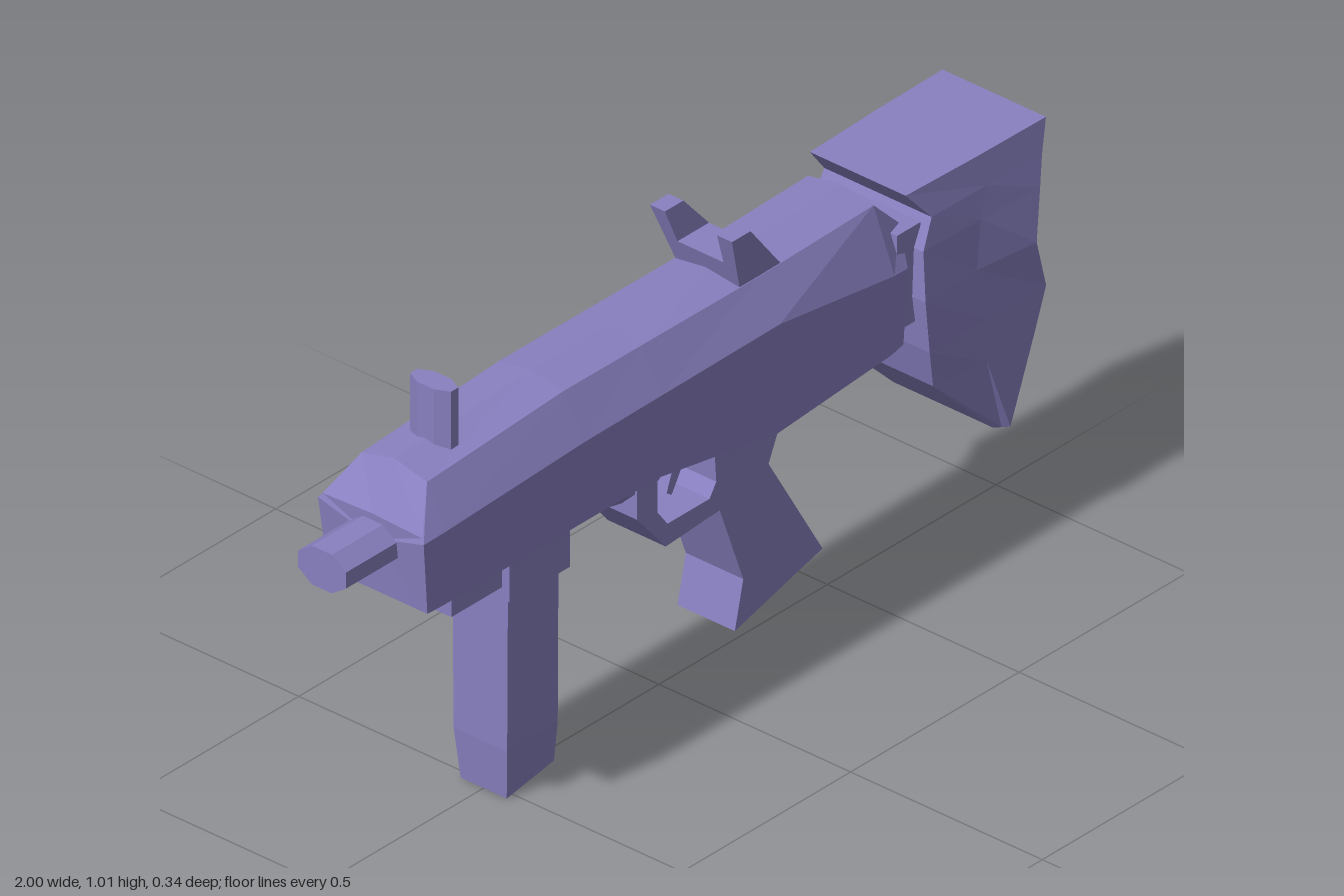
import * as THREE from 'three';

const material = new THREE.MeshStandardMaterial({ color: 0x8880c0, flatShading: true });

function part(group, name, geometry) {
  const mesh = new THREE.Mesh(geometry, material);
  mesh.name = name;
  group.add(mesh);
  return mesh;
}

// Skin a row of closed rings of [x, y, z] points and cap both ends, facing outward
function loft(rings) {
  const tris = [];
  const n = rings[0].length;
  for (let r = 0; r < rings.length - 1; r++) {
    for (let i = 0; i < n; i++) {
      const j = (i + 1) % n;
      const [a, b, c, d] = [rings[r][i], rings[r][j], rings[r + 1][j], rings[r + 1][i]];
      tris.push([a, b, c], [a, c, d]);
    }
  }
  const cap = (ring, flip) => {
    const mid = [0, 1, 2].map(k => ring.reduce((s, p) => s + p[k], 0) / n);
    ring.forEach((p, i) => {
      const q = ring[(i + 1) % n];
      tris.push(flip ? [mid, q, p] : [mid, p, q]);
    });
  };
  cap(rings[0], true);
  cap(rings[rings.length - 1], false);
  const v = p => new THREE.Vector3(...p);
  const volume = tris.reduce((s, [a, b, c]) => s + v(a).dot(v(b).cross(v(c))), 0);
  if (volume < 0) tris.forEach(t => t.reverse());
  const g = new THREE.BufferGeometry();
  g.setAttribute('position', new THREE.Float32BufferAttribute(tris.flat(2), 3));
  g.computeVertexNormals();
  return g;
}

// Side outline in x, y given thickness 2 * half along z
function plate(points, half, hole) {
  const toV = list => list.map(p => new THREE.Vector2(...p));
  const shape = new THREE.Shape(toV(points));
  if (hole) shape.holes.push(new THREE.Path(toV(hole)));
  return new THREE.ExtrudeGeometry(shape, { depth: 2 * half, bevelEnabled: false }).translate(0, 0, -half);
}

function box(x0, x1, y0, y1, half) {
  return new THREE.BoxGeometry(x1 - x0, y1 - y0, 2 * half)
    .translate((x0 + x1) / 2, (y0 + y1) / 2, 0);
}

export function createModel() {
  const model = new THREE.Group();

  // Receiver stations: bottom, shoulder and upper edge as [x, y, z], then ridge [x, y]
  const stations = [
    [[-0.835, 0.6, 0.13], [-0.855, 0.77, 0.138], [-0.85, 0.78, 0.13], [-0.85, 0.785]],
    [[-0.79, 0.6, 0.132], [-0.79, 0.773, 0.14], [-0.785, 0.862, 0.085], [-0.785, 0.882]],
    [[-0.38, 0.6, 0.132], [-0.38, 0.79, 0.14], [-0.38, 0.885, 0.085], [-0.38, 0.9]],
    [[0.2, 0.54, 0.132], [0.2, 0.795, 0.14], [0.2, 0.882, 0.085], [0.2, 0.898]],
    [[0.54, 0.565, 0.132], [0.54, 0.75, 0.14], [0.54, 0.89, 0.085], [0.54, 0.904]],
    [[0.58, 0.57, 0.128], [0.585, 0.745, 0.135], [0.61, 0.82, 0.09], [0.61, 0.835]],
  ];
  stations.splice(3, 0, [[-0.15, 0.6, 0.132], [-0.15, 0.792, 0.14], [-0.15, 0.884, 0.085], [-0.15, 0.899]]);
  part(model, 'receiver', loft(stations.map(([b, s, u, r]) => {
    const side = [b, s, u];
    const mirrored = side.map(([x, y, z]) => [x, y, -z]).reverse();
    return [...side, [...r, 0], ...mirrored];
  })));

  // Barrel
  const barrel = new THREE.CylinderGeometry(1, 1, 0.2, 8);
  barrel.rotateY(Math.PI / 8).rotateZ(Math.PI / 2).scale(1, 0.048, 0.068).translate(-0.9, 0.725, 0);
  part(model, 'barrel', barrel);

  // Shoulder stock levels: y, front x, rear x, front / middle / rear half width
  const levels = [
    [0.905, 0.59, 0.995, 0.125, 0.132, 0.135],
    [0.835, 0.65, 0.972, 0.14, 0.142, 0.145],
    [0.77, 0.62, 0.955, 0.145, 0.148, 0.155],
    [0.66, 0.615, 0.93, 0.155, 0.15, 0.168],
    [0.535, 0.633, 0.975, 0.15, 0.152, 0.153],
    [0.44, 0.66, 0.94, 0.135, 0.152, 0.153],
    [0.258, 0.845, 0.87, 0.13, 0.14, 0.152],
  ];
  part(model, 'stock', loft(levels.map(([y, f, r, wf, wm, wr]) => {
    const m = f + (r - f) * 0.5;
    return [[f, y, wf], [m, y, wm], [r, y, wr], [r, y, -wr], [m, y, -wm], [f, y, -wf]];
  })));
  part(model, 'stockNeck', box(0.57, 0.64, 0.6, 0.82, 0.12));

  // Grip and trigger guard in one piece
  part(model, 'gripAndGuard', plate([
    [-0.15, 0.61], [-0.15, 0.48], [-0.065, 0.38], [0.095, 0.39], [0.165, 0.2], [0.14, 0.092],
    [0.4, 0.163], [0.24, 0.43], [0.29, 0.54], [0.29, 0.61],
  ], 0.075, [
    [-0.09, 0.54], [-0.09, 0.47], [-0.06, 0.43], [0.065, 0.43],
    [0.085, 0.46], [0.08, 0.53], [0.05, 0.56], [-0.06, 0.56],
  ]));
  part(model, 'trigger', plate([
    [0, 0.58], [0, 0.53], [0.015, 0.49], [0, 0.45], [0.015, 0.44], [0.045, 0.49], [0.04, 0.58],
  ], 0.02));

  // Magazine, its well and the parts under the receiver
  part(model, 'magazineWell', box(-0.54, -0.36, 0.473, 0.62, 0.085));
  part(model, 'frontBlock', box(-0.69, -0.53, 0.5, 0.62, 0.065));
  const magazine = [
    [-0.53, 0.49, -0.38, 0.49, 0.072],
    [-0.53, 0.12, -0.38, 0.12, 0.07],
    [-0.52, 0.004, -0.38, 0.027, 0.06],
  ];
  part(model, 'magazine', loft(magazine.map(([x0, y0, x1, y1, w]) =>
    [[x0, y0, w], [x1, y1, w], [x1, y1, -w], [x0, y0, -w]])));
  part(model, 'underRod', loft([[-0.37, 0.55], [-0.14, 0.5]].map(([x, y]) => [
    [x, y, 0.035], [x, y + 0.035, 0.07], [x, 0.62, 0.07],
    [x, 0.62, -0.07], [x, y + 0.035, -0.07], [x, y, -0.035],
  ])));

  // Front sight post with chamfered corners
  const post = new THREE.CylinderGeometry(1, 1, 0.15, 8);
  post.rotateY(Math.PI / 8).scale(0.028, 1, 0.058).translate(-0.667, 0.932, 0);
  part(model, 'frontSight', post);

  // Rear sight: a fork extruded along x, then leaned forward and narrowed with height
  const fork = [[0.083, 0.88], [0.107, 1.018], [0.068, 1.018], [0.06, 0.94]];
  const outline = [...fork, ...fork.map(([z, y]) => [-z, y]).reverse()]
    .map(([z, y]) => new THREE.Vector2(-z, y));
  const sight = new THREE.ExtrudeGeometry(new THREE.Shape(outline), { depth: 1, bevelEnabled: false });
  sight.rotateY(Math.PI / 2);
  const pos = sight.attributes.position;
  for (let i = 0; i < pos.count; i++) {
    const t = (pos.getY(i) - 0.88) / 0.138;
    const front = 0.145 - 0.05 * t;
    const rear = 0.268 - 0.118 * t;
    pos.setX(i, front + (rear - front) * pos.getX(i));
  }
  sight.computeVertexNormals();
  part(model, 'rearSight', sight);

  return model;
}
